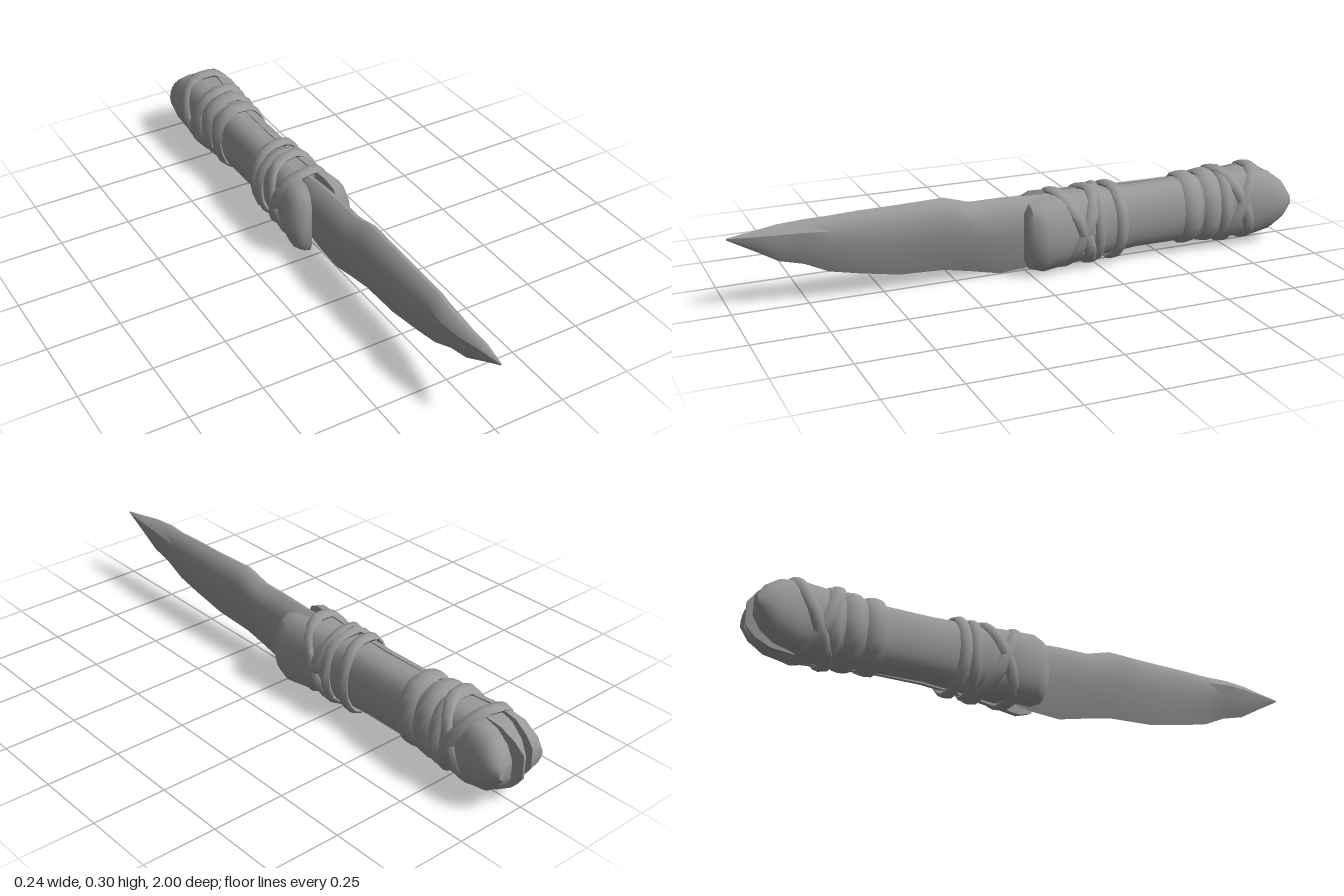
import * as THREE from 'three';
import { toCreasedNormals } from 'three/addons/utils/BufferGeometryUtils.js';

const stone = new THREE.MeshStandardMaterial({ color: 0x999999 });
stone.name = 'grey stone';

// Skin a row of rings (front to back, counter-clockwise seen from +z).
// closed joins the last ring to the first; otherwise both ends are capped.
function loft(rings, closed = false, crease = 0.7) {
  const n = rings[0].length, m = rings.length;
  const pos = rings.flat(2), index = [];
  for (let i = 0; i < (closed ? m : m - 1); i++) {
    for (let j = 0; j < n; j++) {
      const k = (j + 1) % n, next = ((i + 1) % m) * n;
      const a = i * n + j, b = i * n + k, c = next + j, d = next + k;
      index.push(a, c, b, b, c, d);
    }
  }
  if (!closed) {
    for (const end of [0, m - 1]) {
      const ring = rings[end], centre = pos.length / 3;
      for (let q = 0; q < 3; q++) pos.push(ring.reduce((s, p) => s + p[q], 0) / n);
      for (let j = 0; j < n; j++) {
        const a = end * n + j, b = end * n + (j + 1) % n;
        if (end === 0) index.push(centre, a, b);
        else index.push(centre, b, a);
      }
    }
  }
  const g = new THREE.BufferGeometry();
  g.setAttribute('position', new THREE.Float32BufferAttribute(pos, 3));
  g.setIndex(index);
  return toCreasedNormals(g, crease);
}

function part(name, geometry) {
  const mesh = new THREE.Mesh(geometry, stone);
  mesh.name = name;
  return mesh;
}

// Chipped blade section: thin edge below, thick shoulders, ridged spine
function bladeRing([z, low, high, half, shift]) {
  const side = [[0.45, 0.22], [0.8, 0.5], [1, 0.78], [0.5, 0.95]];
  const outline = [[0, 0], ...side, [0, 1], ...side.map(([u, v]) => [-u, v]).reverse()];
  return outline.map(([u, v]) => [shift * v + u * half, low + (high - low) * v, z]);
}

function tangRing([z, low, high, half]) {
  return [[1, 0], [1, 1], [-1, 1], [-1, 0]].map(([u, v]) => [u * half, low + (high - low) * v, z]);
}

// D-shaped grip section, flat on the inside
function scaleRing([z, low, high, inner, outer], s) {
  const ring = [];
  for (let i = 0; i <= 10; i++) {
    const t = -Math.PI / 2 + Math.PI * i / 10;
    const x = inner + (outer - inner) * Math.pow(Math.max(0, Math.cos(t)), 0.85);
    ring.push([s * x, (low + high) / 2 + (high - low) / 2 * Math.sin(t), z]);
  }
  return s > 0 ? ring : ring.reverse();
}

// Oval cord looped round the grip; lean and yaw tilt the loop
function cord({ z, lean = 0, yaw = 0, width = 0.024, thick = 0.012, a = 0.1, b = 0.128, y = 0.152 }) {
  const rings = [], steps = 18;
  for (let i = 0; i < steps; i++) {
    const t = i / steps * Math.PI * 2, c = Math.cos(t), s = Math.sin(t);
    const bump = 1 + 0.015 * Math.sin(i * 2.3 + z * 40);
    const ring = [];
    for (let j = 0; j < 8; j++) {
      const q = j / 8 * Math.PI * 2, out = thick * Math.cos(q);
      ring.push([
        (a * bump + out) * Math.sign(c) * Math.pow(Math.abs(c), 0.92),
        y + (b * bump + out) * Math.sign(s) * Math.pow(Math.abs(s), 0.92),
        z + lean * s + yaw * c + width * Math.sin(q),
      ]);
    }
    rings.push(ring);
  }
  return loft(rings, true, 0.9);
}

export function createModel() {
  const knife = new THREE.Group();
  knife.name = 'stoneKnife';

  // Blade: z, edge, spine, half thickness, sideways shift
  knife.add(part('blade', loft([
    [1, 0.258, 0.264, 0.002, 0],
    [0.915, 0.21, 0.277, 0.018, 0],
    [0.84, 0.166, 0.286, 0.028, -0.008],
    [0.76, 0.145, 0.291, 0.036, -0.008],
    [0.68, 0.107, 0.296, 0.036, 0.002],
    [0.58, 0.085, 0.3, 0.038, 0.002],
    [0.446, 0.06, 0.302, 0.041, 0.003],
    [0.29, 0.053, 0.306, 0.046, 0.002],
    [0.2, 0.035, 0.28, 0.049, 0.003],
    [0.09, 0.01, 0.281, 0.046, 0.004],
    [-0.02, 0.018, 0.274, 0.044, 0.003],
    [-0.12, 0.04, 0.27, 0.034, 0],
  ].map(bladeRing))));

  // Tang between the grip scales, narrowing to the pommel
  knife.add(part('tang', loft([
    [-0.1, 0.03, 0.27, 0.03],
    [-0.4, 0.052, 0.262, 0.026],
    [-0.7, 0.045, 0.265, 0.03],
    [-0.85, 0.03, 0.275, 0.03],
    [-0.92, 0.04, 0.262, 0.024],
    [-0.97, 0.07, 0.23, 0.014],
    [-1, 0.11, 0.19, 0.004],
  ].map(tangRing))));

  // Grip scales: z, bottom, top, inner x, outer x
  const scale = [
    [0.022, 0.065, 0.225, 0.045, 0.085],
    [0.005, 0.03, 0.258, 0.042, 0.108],
    [-0.04, 0.015, 0.274, 0.036, 0.122],
    [-0.12, 0.022, 0.275, 0.03, 0.106],
    [-0.25, 0.035, 0.27, 0.022, 0.092],
    [-0.4, 0.046, 0.266, 0.018, 0.084],
    [-0.55, 0.046, 0.266, 0.018, 0.085],
    [-0.7, 0.04, 0.27, 0.026, 0.094],
    [-0.85, 0.033, 0.278, 0.034, 0.107],
    [-0.92, 0.05, 0.264, 0.038, 0.113],
    [-0.965, 0.085, 0.23, 0.04, 0.11],
    [-0.99, 0.125, 0.19, 0.044, 0.095],
  ];
  for (const [name, s] of [['leftScale', 1], ['rightScale', -1]]) {
    const rows = s > 0 ? scale : scale.map(([z, l, h, i, o]) => [z - (z > 0 ? 0.012 : 0), l, h, i, o * 0.96]);
    knife.add(part(name, loft(rows.map(r => scaleRing(r, s)))));
  }

  // Cord bindings: crossed loops and straight loops at each end of the grip
  const bindings = {
    frontBinding: [
      { z: -0.165, lean: 0.06, yaw: -0.012, a: 0.102, b: 0.13, y: 0.15 },
      { z: -0.17, lean: -0.058, yaw: -0.015, a: 0.102, b: 0.13, y: 0.15 },
      { z: -0.25, yaw: 0.012, width: 0.02 },
      { z: -0.31, yaw: -0.012, width: 0.022, a: 0.098 },
    ],
    rearBinding: [
      { z: -0.6, width: 0.034, a: 0.093, b: 0.118, y: 0.158 },
      { z: -0.674, width: 0.034, a: 0.097, b: 0.12, y: 0.158 },
      { z: -0.735, width: 0.024, yaw: 0.006, a: 0.1, b: 0.123, y: 0.157 },
      { z: -0.78, lean: 0.052, yaw: -0.02, a: 0.104, b: 0.128, y: 0.157 },
      { z: -0.8, lean: -0.06, yaw: 0.016, a: 0.106, b: 0.128, y: 0.157 },
    ],
  };
  for (const [name, loops] of Object.entries(bindings)) {
    const group = new THREE.Group();
    group.name = name;
    loops.forEach((loop, i) => group.add(part('cord' + (i + 1), cord(loop))));
    knife.add(group);
  }
  return knife;
}
